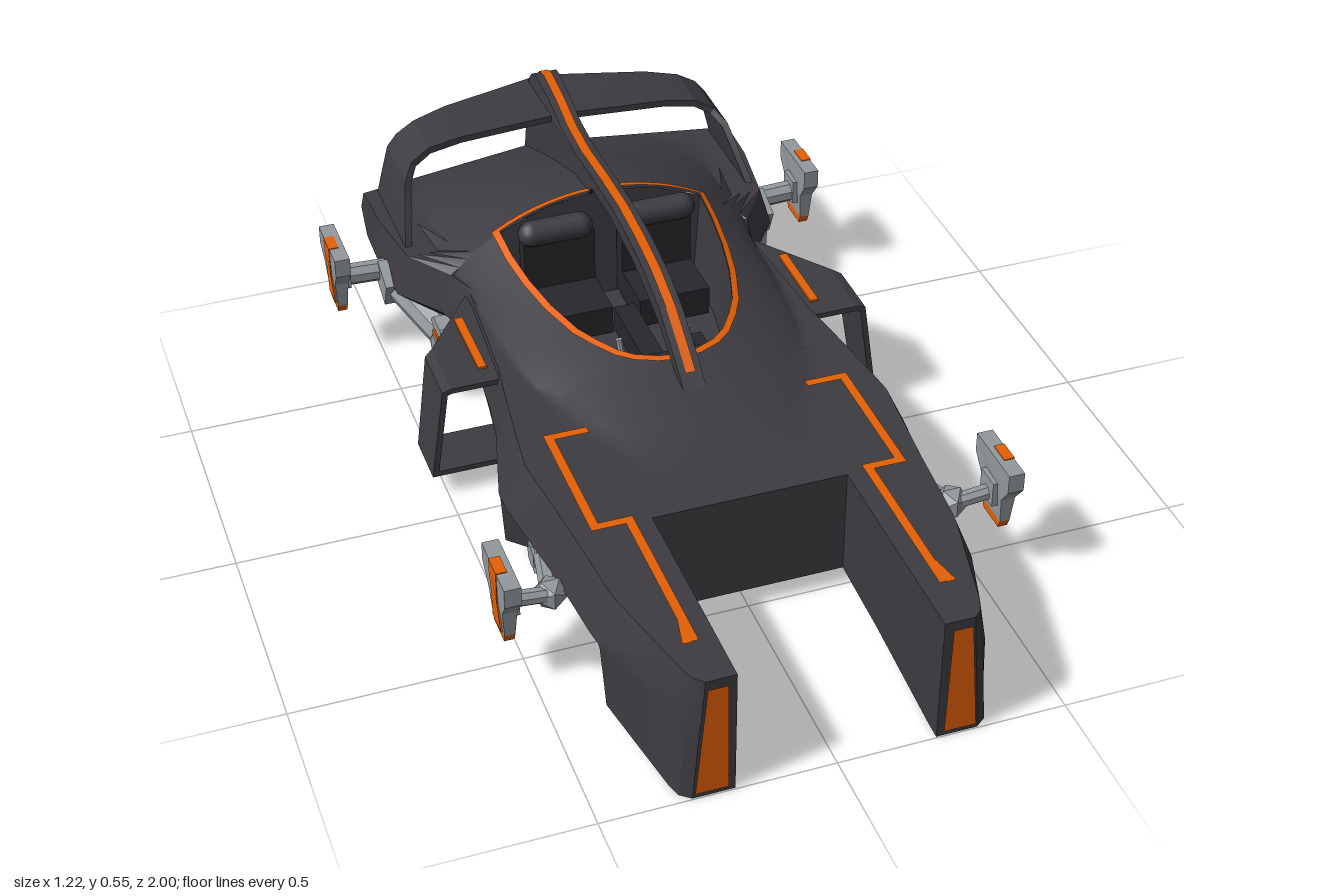
import * as THREE from 'three';
import { toCreasedNormals } from 'three/addons/utils/BufferGeometryUtils.js';

const material = (name, color) => new THREE.MeshStandardMaterial({ name, color, side: THREE.DoubleSide });

// piecewise-linear lookup in a table sorted by falling z
function lut(table, z, col = 1) {
  if (z >= table[0][0]) return table[0][col];
  for (let i = 1; i < table.length; i++) {
    const a = table[i - 1], b = table[i];
    if (z >= b[0]) return a[col] + (b[col] - a[col]) * (z - a[0]) / (b[0] - a[0]);
  }
  return table[table.length - 1][col];
}

// hull stations: z, shoulder x, widest x, recess x, bottom x, bottom y
const STATIONS = [
  [0.997, .28, .288, .29, .305, 0], [.98, .298, .31, .312, .328, .001], [.95, .31, .328, .33, .338, .003],
  [.72, .365, .405, .402, .39, .03], [.685, .37, .41, .36, .345, .034],
  [.5, .385, .425, .37, .355, .047], [.25, .41, .457, .405, .39, .065],
  [.2, .405, .457, .454, .447, .07], [0, .38, .405, .402, .395, .07],
  [-.1, .365, .39, .385, .37, .068], [-.4, .345, .365, .36, .33, .06],
  [-.49, .365, .39, .38, .31, .058], [-.6, .44, .47, .455, .30, .055],
  [-.77, .465, .478, .463, .30, .06], [-.86, .468, .478, .468, .33, .12],
  [-.9, .47, .478, .475, .47, .23]];
// dome: z, height, half width
const DOME = [[.42, 0, .1], [.3, .015, .19], [.17, .036, .25], [.08, .05, .285], [-.05, .075, .32],
  [-.2, .1, .337], [-.35, .13, .343], [-.49, .155, .358], [-.6, .142, .36], [-.72, .09, .35], [-.85, .02, .34], [-.9, 0, .34]];
// cockpit rim: z, half width
const RIM = [[.056, 0], [.048, .045], [.028, .09], [0, .122], [-.05, .156], [-.1, .182], [-.2, .212], [-.3, .231], [-.4, .242], [-.49, .245]];

const deck = (x, z) => {
  const w = lut(DOME, z, 2);
  return .3 + lut(DOME, z, 1) * Math.pow(Math.max(0, 1 - (x / w) ** 2), .85);
};
// sweeps the tail into a shallow point
const tailZ = (x, z) => z - .092 * (1 - Math.abs(x) / .48) * THREE.MathUtils.smoothstep(-z, .6, .9);

// skin through rows of [x, y, z] points
function loft(rows, flip = false, crease = .5) {
  const n = rows[0].length, index = [];
  for (let i = 0; i + 1 < rows.length; i++) for (let j = 0; j + 1 < n; j++) {
    const a = i * n + j, b = a + 1, d = a + n, c = d + 1;
    index.push(...(flip ? [a, d, b, b, d, c] : [a, b, d, b, c, d]));
  }
  const g = new THREE.BufferGeometry();
  g.setAttribute('position', new THREE.Float32BufferAttribute(rows.flat(2), 3));
  g.setIndex(index);
  return toCreasedNormals(g, crease);
}

// mitred parallel of a 2D polyline, to its left
function offset(pts, d) {
  const p = pts.map(q => new THREE.Vector2(q[0], q[1]));
  return p.map((q, i) => {
    const t0 = q.clone().sub(p[Math.max(i - 1, 0)]).normalize();
    const t1 = p[Math.min(i + 1, p.length - 1)].clone().sub(q).normalize();
    const t = t0.clone().add(t1).normalize();
    const k = d / Math.max(.5, t.dot(i ? t0 : t1));
    return [q.x - t.y * k, q.y + t.x * k];
  });
}

// bent plate: points are x, y, front z, rear z
function band(pts, d) {
  const inner = offset(pts, d);
  return loft(pts.map(([x, y, f, r], i) => {
    const [u, v] = inner[i];
    return [[x, y, f], [x, y, r], [u, v, r], [u, v, f], [x, y, f]];
  }), d < 0, .3);
}

// thin stripe laid on the deck along an x, z path
function stripe(path, d0, d1, s) {
  const fine = [path[0]];
  for (let i = 1; i < path.length; i++) for (let k = 1; k <= 5; k++)
    fine.push([0, 1].map(c => path[i - 1][c] + (path[i][c] - path[i - 1][c]) * k / 5));
  const a = offset(fine, d0), b = offset(fine, d1);
  return loft(a.map((p, i) => [p, b[i]].map(([x, z]) => [s * x, deck(x, z) + .005, z])), s < 0);
}

// side profile in z, y given thickness along x, scaled by a width rule of y, z
function slab(pts, thick, x, width) {
  const g = new THREE.ExtrudeGeometry(new THREE.Shape(pts.map(p => new THREE.Vector2(...p))), { depth: thick, bevelEnabled: false });
  g.translate(0, 0, -thick / 2).rotateY(-Math.PI / 2);
  const p = g.attributes.position;
  for (let i = 0; i < p.count; i++) p.setX(i, p.getX(i) * width(p.getY(i), p.getZ(i)));
  g.computeVertexNormals();
  return g.translate(x, 0, 0);
}

function rod(a, b, r, sides = 8) {
  const p = new THREE.Vector3(...a), q = new THREE.Vector3(...b), dir = q.clone().sub(p);
  const g = toCreasedNormals(new THREE.CylinderGeometry(r, r, dir.length(), sides), .3);
  g.rotateY(Math.PI / sides);
  g.applyQuaternion(new THREE.Quaternion().setFromUnitVectors(new THREE.Vector3(0, 1, 0), dir.normalize()));
  p.add(q).multiplyScalar(.5);
  return g.translate(p.x, p.y, p.z);
}

export function createModel() {
  const hull = material('charcoal hull', 0x3d3b41), dark = material('dark trim', 0x28282c);
  const orange = material('orange accent', 0xe46006), grey = material('grey metal', 0x93999d);
  const root = new THREE.Group();
  const add = (name, geo, mat) => {
    const m = new THREE.Mesh(geo, mat);
    m.name = name;
    root.add(m);
  };
  const box = (name, mat, w, h, d, x, y, z) => add(name, new THREE.BoxGeometry(w, h, d).translate(x, y, z), mat);

  // hull cross-section from keel, round the flank, to the inner deck edge
  const zs = [...new Set([...STATIONS, ...DOME, ...RIM].map(r => r[0]))].sort((a, b) => b - a);
  const section = (z, inBottom, inTop, s, close) => {
    const [xs, xm, xl, xb, yb] = [1, 2, 3, 4, 5].map(c => lut(STATIONS, z, c));
    const ym = Math.max(.2, (.3 + yb) / 2);
    const pts = [[inBottom, yb], [xb, yb], [xl, ym - .012], [xm, ym], [xs, .3]];
    for (let k = 1; k <= 18; k++) {
      const x = xs + (inTop - xs) * k / 18;
      pts.push([x, deck(x, z)]);
    }
    if (close) pts.push(pts[0]);
    return pts.map(([x, y]) => [s * x, y, tailZ(x, z)]);
  };
  const cap = (sec, flip) => {
    const c = [0, 1, 2].map(k => (sec[0][k] + sec[4][k]) / 2);
    return loft([sec.map(() => c), sec], flip);
  };

  for (const s of [1, -1]) {
    const side = s > 0 ? 'left' : 'right', range = (a, b) => zs.filter(z => z <= a && z >= b);
    const prong = range(1, .5).map(z => section(z, .215, .215, s, true));
    add(side + 'Prong', loft(prong, s > 0), hull);
    add(side + 'ProngTip', cap(prong[0], s > 0), hull);
    add(side + 'MidHull', loft(range(.5, -.49).map(z => section(z, 0, lut(RIM, z), s)), s > 0), hull);
    add(side + 'RearHull', loft(range(-.49, -.9).map(z => section(z, 0, 0, s)), s > 0), hull);
    add(side + 'TailFace', cap(section(-.9, 0, 0, s, true), s < 0), hull);

    // nose lights and deck stripes
    add(side + 'NoseLight', loft([[[s * .23, .012, 1], [s * .3, .012, 1]], [[s * .234, .28, 1], [s * .276, .28, 1]]], s < 0), orange);
    add(side + 'DeckStripe', stripe([[.25, .18], [.337, .18], [.337, .495], [.263, .495], [.263, .885]], -.01, .01, s), orange);
    add(side + 'DeckStripeFoot', loft([[[s * .268, .306, .82], [s * .268, .306, .888]], [[s * .274, .306, .82], [s * .288, .306, .888]]], s > 0), orange);

    // cockpit rim and tub
    const rim = [...RIM.map(([z, x]) => [x, z]), [.125, -.49], [0, -.49]];
    add(side + 'CockpitRim', stripe(rim, 0, .015, s), orange);
    add(side + 'CockpitTub', loft(rim.map(([x, z]) => [
      [s * x, deck(x, z), z], [s * x * .92, .18, z * .97], [0, .18, z * .97]]), s < 0), hull);

    // seat, headrest and controls
    box(side + 'Seat', dark, .17, .07, .15, s * .118, .22, -.38);
    box(side + 'SeatBack', dark, .17, .2, .04, s * .118, .29, -.455);
    add(side + 'Headrest', new THREE.CapsuleGeometry(.031, .115, 6, 14).rotateZ(Math.PI / 2).translate(s * .125, .404, -.442), hull);
    box(side + 'Console', dark, .03, .05, .12, s * .1, .25, -.06);
    add(side + 'ControlStick', rod([s * .07, .18, -.09], [s * .08, .3, -.12], .008), grey);
    add(side + 'ControlKnob', new THREE.SphereGeometry(.014, 8, 6).translate(s * .1, .285, -.04), grey);

    // open box-shaped side fin
    add(side + 'SideFin', band([[.35, .287, -.08, -.42], [.48, .287, -.08, -.24], [.50, .28, -.08, -.225],
      [.533, .055, -.08, -.21], [.35, .055, -.08, -.21]].map(([x, ...r]) => [s * x, ...r]), -s * .013), hull);
    box(side + 'FinStripe', orange, .02, .006, .2, s * .394, .289, -.23);

    // tail light strip
    const plate = (name, x0, x1, y0, y1, out, mat) => add(side + name, loft([x0, x1].map(x =>
      [y0, y1].map(y => [s * x, y, tailZ(x, -.9) - out])), s < 0), mat);
    plate('TailPanel', .02, .465, .234, .294, .002, dark);
    plate('TailLineTop', .02, .468, .286, .296, .004, orange);
    plate('TailLineBottom', .02, .468, .23, .238, .004, orange);
    plate('TailLineEnd', .46, .468, .23, .296, .004, orange);
    plate('TailLamp', .35, .43, .255, .272, .004, orange);

    // thruster pods: tapered T plates with an orange outer core and foot
    for (const [pos, x, z] of [['Front', .548, .54], ['Rear', .588, -.713]]) {
      const prof = pts => [...pts, ...pts.map(([a, b]) => [-a, b]).reverse()].map(([a, b]) => [z + a, b]);
      const taper = y => .6 + .4 * THREE.MathUtils.smoothstep(y, .13, .26);
      add(side + pos + 'Pod', slab(prof([[.08, .3], [.08, .255], [.05, .215], [.044, .15]]), .036, s * x, taper), grey);
      add(side + pos + 'PodCore', slab(prof([[.026, .302], [.026, .265], [.019, .22], [.03, .15]]), .024, s * (x + .0075), taper), orange);
      add(side + pos + 'PodFoot', slab(prof([[.044, .15], [.036, .13]]), .036, s * x, taper), orange);
      box(side + pos + 'PodCollar', grey, .03, .06, .06, s * (x - .012), .215, z);
    }

    // front arm
    add(side + 'FrontHub', rod([s * .36, .13, .34], [s * .425, .13, .34], .046, 6), grey);
    add(side + 'FrontHubBolt', rod([s * .42, .13, .34], [s * .431, .13, .34], .025, 6), grey);
    add(side + 'FrontArm', rod([s * .405, .14, .36], [s * .435, .175, .50], .025), grey);
    add(side + 'FrontJoint', new THREE.IcosahedronGeometry(.038, 0).translate(s * .445, .19, .53), grey);
    add(side + 'FrontAxle', rod([s * .44, .195, .54], [s * .54, .205, .54], .018), grey);

    // rear arm
    add(side + 'RearHub', rod([s * .32, .11, -.478], [s * .41, .11, -.478], .078), grey);
    add(side + 'RearHubRing', rod([s * .408, .11, -.478], [s * .414, .11, -.478], .048), orange);
    add(side + 'RearHubCap', rod([s * .41, .11, -.478], [s * .418, .11, -.478], .034), grey);
    add(side + 'RearArm', rod([s * .385, .125, -.52], [s * .45, .18, -.67], .038), grey);
    add(side + 'RearJoint', new THREE.BoxGeometry(.06, .07, .08).rotateX(.4).translate(s * .46, .185, -.68), grey);
    add(side + 'RearAxle', rod([s * .46, .2, -.713], [s * .58, .205, -.713], .026), grey);
  }

  // wall between the prongs
  add('notchWall', new THREE.PlaneGeometry(.43, .253).translate(0, .1735, .5), hull);
  box('dashboard', dark, .16, .05, .05, 0, .28, -.01);
  box('centreConsole', dark, .05, .06, .25, 0, .21, -.2);

  // rear hoop wing with trimmed trailing edge
  const half = [[.44, .28, -.62, -.9], [.42, .36, -.685, -.9], [.404, .42, -.73, -.9], [.38, .45, -.76, -.9],
    [.335, .475, -.77, -.905], [.255, .49, -.77, -.92]];
  const mirrored = h => [...h, [0, .505, -.77, -.965], ...h.map(([x, ...r]) => [-x, ...r]).reverse()];
  const hoop = mirrored(half);
  add('rearHoop', band(hoop, .016), hull);
  const trim = offset(hoop, .003).map(([x, y], i) => [x, y, hoop[i][3] + .001, hoop[i][3] - .002]);
  add('rearHoopTrim', band(trim, .01), orange);

  // central spine arching over the cockpit and down the tail
  const ridge = [[.16, .338], [.13, .361], [.1, .383], [0, .447], [-.1, .482], [-.2, .5], [-.32, .511], [-.45, .508], [-.6, .498],
    [-.7, .505], [-.8, .53], [-.89, .543], [-.925, .535], [-.945, .51], [-.997, .28], [-.997, .22], [-.93, .11]];
  const under = [[-.88, .11], [-.9, .27], [-.7, .36], [-.52, .42], [-.475, .475], [-.35, .48], [-.2, .464], [-.1, .442], [0, .406], [.1, .35], [.14, .33]];
  const flare = (y, z) => 1 + .35 * THREE.MathUtils.smoothstep(-z, .85, .98);
  add('spine', slab([...ridge, ...under], .052, 0, flare), hull);
  add('spineStripe', loft(offset(ridge, -.003).slice(1).map(([z, y]) => [[-.011, y, z], [.011, y, z]])), orange);
  return root;
}
